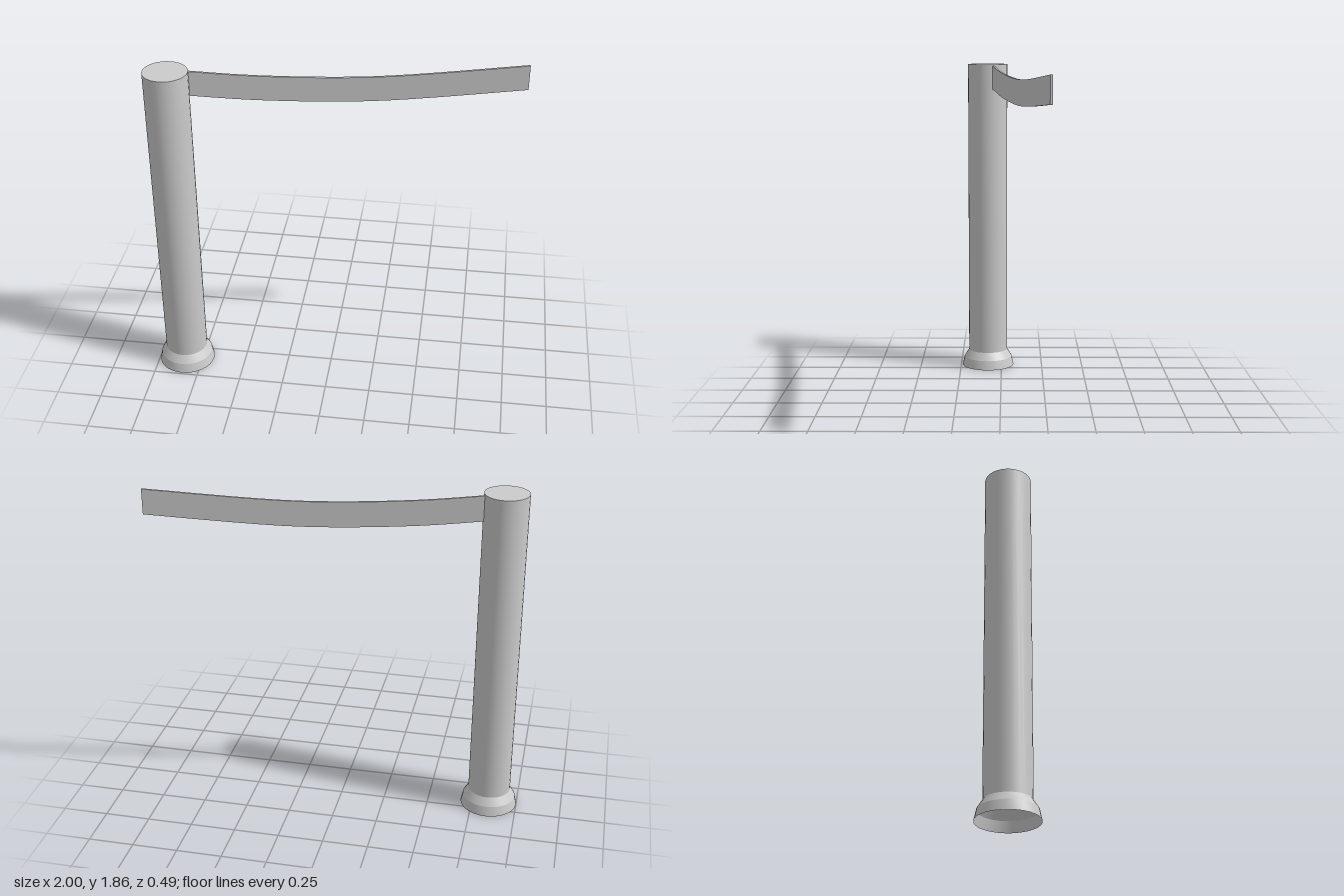
import * as THREE from 'three';
import { toCreasedNormals } from 'three/addons/utils/BufferGeometryUtils.js';

const SIDES = 32;
const material = new THREE.MeshStandardMaterial({ color: 0xcccccc, side: THREE.DoubleSide });

function addLathe(group, name, profile) {
  const points = profile.map(([r, y]) => new THREE.Vector2(r, y));
  const geometry = toCreasedNormals(new THREE.LatheGeometry(points, SIDES), 0.3);
  const mesh = new THREE.Mesh(geometry, material);
  mesh.name = name;
  group.add(mesh);
}

export function createModel() {
  const model = new THREE.Group();
  model.name = 'barrierPost';

  // Post with a flared foot, open underneath
  const post = new THREE.Group();
  post.name = 'post';
  post.position.set(-0.842, 0, 0.083);
  addLathe(post, 'postColumn', [[0.118, 0.1], [0.118, 1.86], [0, 1.86]]);
  addLathe(post, 'flaredFoot', [[0.158, 0], [0.146, 0.055], [0.118, 0.1]]);
  model.add(post);

  // Sagging belt: a curved strip, turned to lead away behind the post
  const angle = Math.atan(0.165);
  const height = 0.137;
  const thickness = 0.012;
  const sag = new THREE.SplineCurve(
    [[-0.74, 1.852], [-0.4, 1.821], [0.03, 1.805], [0.4, 1.814], [0.999, 1.858]]
      .map(([x, y]) => new THREE.Vector2(x / Math.cos(angle), y)));
  const top = sag.getPoints(16);
  const bottom = top.map((p) => new THREE.Vector2(p.x, p.y - height)).reverse();
  const strip = new THREE.ExtrudeGeometry(new THREE.Shape([...bottom, ...top]),
    { depth: thickness, bevelEnabled: false });
  strip.translate(0, 0, -thickness / 2);
  const belt = new THREE.Mesh(toCreasedNormals(strip, 0.5), material);
  belt.name = 'belt';
  belt.rotation.y = angle;
  belt.position.z = -0.075;
  model.add(belt);

  return model;
}
